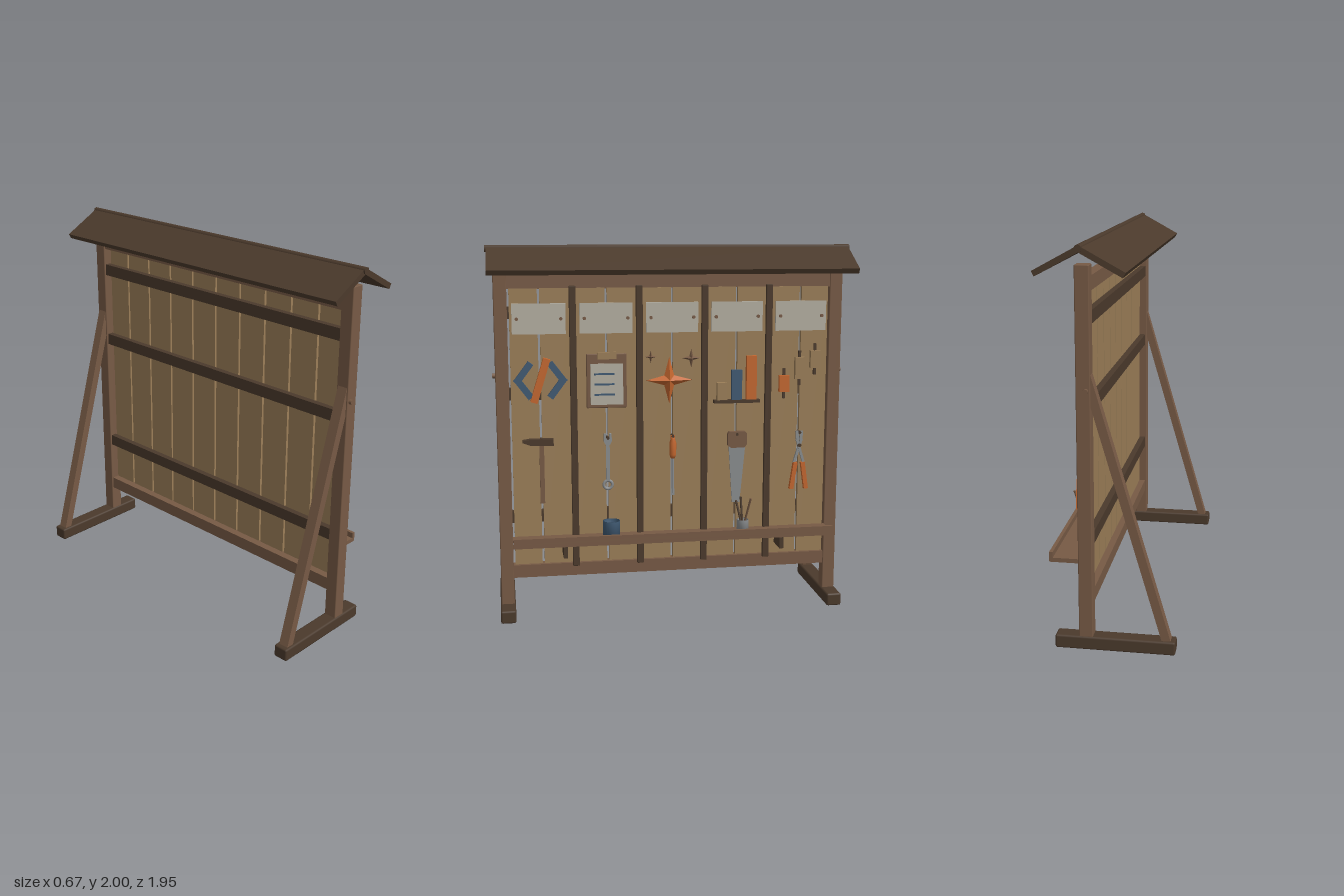
import * as THREE from 'three';
import { RoundedBoxGeometry } from 'three/addons/geometries/RoundedBoxGeometry.js';

const mat = (name, color, side = THREE.FrontSide) => {
  const m = new THREE.MeshStandardMaterial({ color, side });
  m.name = name;
  return m;
};

export function createModel() {
  const dark = mat('dark wood', 0x4b3a2c);
  const wood = mat('brown wood', 0x775a45);
  const tan = mat('tan board', 0x9b7e58);
  const pale = mat('pale sign', 0xb3aea1);
  const orange = mat('orange', 0xc4672f);
  const blue = mat('blue', 0x405a73);
  const steel = mat('steel', 0x8a8d8f);

  // Built facing +z (x along the board), then turned to face +x.
  const board = new THREE.Group();
  board.name = 'toolBoard';

  const add = (name, geo, m, x = 0, y = 0, z = 0, parent = board) => {
    const mesh = new THREE.Mesh(geo, m);
    mesh.name = name;
    mesh.position.set(x, y, z);
    parent.add(mesh);
    return mesh;
  };
  // box from its limits on each axis
  const box = (name, m, x0, x1, y0, y1, z0, z1, bevel = 0) => {
    const s = [x1 - x0, y1 - y0, z1 - z0];
    const geo = bevel ? new RoundedBoxGeometry(...s, 1, bevel) : new THREE.BoxGeometry(...s);
    return add(name, geo, m, (x0 + x1) / 2, (y0 + y1) / 2, (z0 + z1) / 2);
  };
  // straight bar between two points in the board plane
  const bar = (name, m, [x0, y0], [x1, y1], width, z0, z1) => {
    const dx = x1 - x0, dy = y1 - y0;
    const b = add(name, new THREE.BoxGeometry(width, Math.hypot(dx, dy), z1 - z0), m,
      (x0 + x1) / 2, (y0 + y1) / 2, (z0 + z1) / 2);
    b.rotation.z = -Math.atan2(dx, dy);
    return b;
  };
  // flat outline with thickness
  const plate = (name, m, pts, z, depth) => {
    const shape = new THREE.Shape(pts.map(p => new THREE.Vector2(...p)));
    return add(name, new THREE.ExtrudeGeometry(shape, { depth, bevelEnabled: false }), m, 0, 0, z);
  };
  // round peg pointing along z
  const peg = (name, m, x, y, z, r, len) => {
    const p = add(name, new THREE.CylinderGeometry(r, r, len, 10), m, x, y, z);
    p.rotation.x = Math.PI / 2;
    return p;
  };

  // Side frames: foot, post, raking brace and bolt
  for (const s of [-1, 1]) {
    const c = s * 0.903;
    box('foot', dark, c - 0.041, c + 0.041, 0, 0.07, -0.335, 0.265, 0.01);
    box('post', wood, c - 0.035, c + 0.035, 0.065, 1.905, 0.075, 0.145, 0.005);
    const dz = 0.385, dy = 1.32;
    const brace = add('brace', new THREE.BoxGeometry(0.055, Math.hypot(dz, dy) + 0.02, 0.043), wood, c, 0.73, -0.096);
    brace.rotation.x = Math.atan2(dz, dy);
    const bolt = add('braceBolt', new THREE.CylinderGeometry(0.013, 0.013, 0.03, 10), wood, s * 0.938, 1.318, 0.097);
    bolt.rotation.z = Math.PI / 2;
  }

  // Rails
  box('topRail', wood, -0.868, 0.868, 1.775, 1.845, 0.085, 0.14);
  box('bottomRail', wood, -0.868, 0.868, 0.215, 0.285, 0.085, 0.14);
  for (const y of [0.55, 1.22, 1.65]) box('backRail', dark, -0.868, 0.868, y - 0.032, y + 0.032, 0.085, 0.118);

  // Planks and battens
  const pitch = 0.1764;
  for (let i = -5; i < 5; i++) {
    const x0 = Math.max(-0.858, i * pitch + 0.006), x1 = Math.min(0.858, (i + 1) * pitch - 0.006);
    box('plank', tan, x0, x1, 0.292, 1.778, 0.118, 0.143);
  }
  for (const k of [-3, -1, 1, 3]) box('batten', dark, k * pitch - 0.018, k * pitch + 0.018, 0.272, 1.79, 0.142, 0.162, 0.004);

  // Roof
  for (const s of [-1, 1]) {
    const slab = add('roofSlab', new THREE.BoxGeometry(1.936, 0.028, 0.242), dark, 0, 1.922, 0.118 + s * 0.105);
    slab.rotation.x = s * 0.5;
  }
  const ridge = add('ridgeCap', new THREE.CylinderGeometry(0.018, 0.018, 1.95, 8), dark, 0, 1.982, 0.118);
  ridge.rotation.z = Math.PI / 2;

  // Header signs with screws
  const cols = [-2, -1, 0, 1, 2].map(i => i * 2 * pitch);
  for (const x of cols) {
    box('sign', pale, x - 0.14, x + 0.14, 1.54, 1.7, 0.144, 0.157);
    for (const s of [-1, 1]) peg('signScrew', wood, x + s * 0.115, 1.62, 0.16, 0.009, 0.01);
  }

  // Column 1: angle brackets, slash, hammer
  for (const s of [-1, 1]) {
    const cx = -0.703;
    for (const e of [-1, 1]) bar('chevronArm', blue, [cx + s * 0.128, 1.297 - e * 0.012], [cx + s * 0.05, 1.297 + e * 0.092], 0.034, 0.144, 0.168);
  }
  bar('slash', orange, [-0.74, 1.18], [-0.668, 1.412], 0.038, 0.144, 0.174);
  box('hammerHandle', wood, -0.717, -0.693, 0.64, 0.965, 0.168, 0.192);
  plate('hammerHead', dark, [[-0.805, 0.972], [-0.765, 0.957], [-0.642, 0.953], [-0.642, 0.988], [-0.765, 0.988], [-0.803, 0.982]], 0.16, 0.04);

  // Column 2: clipboard and wrench
  box('clipboard', wood, -0.461, -0.246, 1.142, 1.432, 0.144, 0.16, 0.005);
  box('paper', pale, -0.44, -0.266, 1.16, 1.38, 0.16, 0.165);
  box('clip', tan, -0.403, -0.303, 1.405, 1.442, 0.158, 0.178);
  [[1.325, -0.312], [1.27, -0.312], [1.215, -0.312]].forEach(([y, x1]) => box('writtenLine', blue, -0.42, x1, y - 0.005, y + 0.005, 0.164, 0.168));
  const wx = -0.353;
  bar('wrenchShaft', steel, [wx, 0.75], [wx, 0.975], 0.02, 0.166, 0.18);
  add('wrenchRing', new THREE.TorusGeometry(0.023, 0.008, 8, 20), steel, wx, 0.725, 0.173);
  plate('wrenchJaw', steel, [[-0.012, 0.945], [0.012, 0.945], [0.022, 0.965], [0.02, 1.005], [0.009, 1.005], [0.009, 0.978],
    [-0.009, 0.978], [-0.009, 1.005], [-0.02, 1.005], [-0.022, 0.965]].map(([x, y]) => [x + wx, y]), 0.164, 0.018);

  // Column 3: faceted stars and screwdriver
  const star = (m, x, y, r, h) => {
    const pos = [], n = 8;
    const p = i => {
      const a = i * Math.PI / 4, q = i % 2 ? r * 0.3 : r;
      return [Math.cos(a) * q, Math.sin(a) * q, 0];
    };
    for (let i = 0; i < n; i++) pos.push(...p(i), ...p(i + 1), 0, 0, h, ...p(i + 1), ...p(i), 0, 0, 0);
    const g = new THREE.BufferGeometry();
    g.setAttribute('position', new THREE.Float32BufferAttribute(pos, 3));
    g.computeVertexNormals();
    add('star', g, m, x, y, 0.146);
  };
  star(orange, -0.015, 1.282, 0.126, 0.032);
  star(wood, -0.115, 1.41, 0.033, 0.018);
  star(wood, 0.105, 1.4, 0.05, 0.02);
  const grip = [[0, 0.86], [0.012, 0.86], [0.019, 0.88], [0.019, 0.945], [0.012, 0.965], [0.013, 0.985], [0, 0.99]];
  add('screwdriverHandle', new THREE.LatheGeometry(grip.map(p => new THREE.Vector2(...p)), 12), orange, 0, 0, 0.175);
  add('screwdriverBlade', new THREE.CylinderGeometry(0.007, 0.007, 0.2, 8), steel, 0, 0.765, 0.175);
  box('screwdriverTip', steel, -0.009, 0.009, 0.655, 0.69, 0.172, 0.178);

  // Column 4: bar chart on a ledge, saw
  box('chartLedge', dark, 0.227, 0.48, 1.153, 1.17, 0.144, 0.18);
  [[tan, 0.272, 1.265], [blue, 0.353, 1.332], [orange, 0.434, 1.408]].forEach(([m, x, top]) =>
    box('chartBar', m, x - 0.028, x + 0.028, 1.17, top, 0.144, 0.172));
  plate('sawBlade', steel, [[0.308, 0.93], [0.33, 0.6], [0.372, 0.6], [0.402, 0.93]], 0.17, 0.008);
  plate('sawHandle', wood, [[0.303, 0.92], [0.32, 0.908], [0.395, 0.908], [0.408, 0.925], [0.408, 0.985], [0.398, 0.997], [0.312, 0.997], [0.302, 0.985]], 0.16, 0.028);

  // Column 5: candle chart and pliers
  [[orange, 0.618, 1.252, 0.09, 0.165], [tan, 0.705, 1.335, 0.12, 0.19], [tan, 0.79, 1.383, 0.095, 0.17]].forEach(([m, x, y, h, stem]) => {
    box('candleStem', dark, x - 0.007, x + 0.007, y - stem / 2, y + stem / 2, 0.144, 0.156);
    box('candleBody', m, x - 0.028, x + 0.028, y - h / 2, y + h / 2, 0.144, 0.17);
  });
  const px = 0.705;
  for (const s of [-1, 1]) {
    const z = 0.17 + s * 0.003;
    bar('plierJaw', steel, [px - s * 0.014, 0.99], [px - s * 0.01, 0.94], 0.016, z, z + 0.012);
    bar('plierArm', steel, [px - s * 0.014, 0.945], [px + s * 0.027, 0.81], 0.014, z, z + 0.012);
    bar('plierGrip', orange, [px + s * 0.02, 0.815], [px + s * 0.042, 0.665], 0.023, 0.166, 0.19);
  }
  peg('plierPivot', dark, px, 0.91, 0.18, 0.01, 0.02);

  // Hanging pegs above the tools
  for (const x of cols) peg('toolPeg', dark, x, 0.982, 0.166, 0.008, 0.046);

  // Work shelf with lip and brackets
  box('shelf', wood, -0.868, 0.868, 0.425, 0.447, 0.143, 0.305);
  box('shelfLip', wood, -0.868, 0.868, 0.447, 0.477, 0.287, 0.305);
  for (const x of [-0.592, 0.592]) box('shelfBracket', dark, x - 0.011, x + 0.011, 0.35, 0.425, 0.143, 0.266);

  // Cups: hollow, with outer and inner walls
  const cup = (name, m, x, r, h) => {
    const p = [[0, 0], [r * 0.97, 0], [r, h], [r * 0.87, h], [r * 0.85, 0.01], [0, 0.01]];
    add(name, new THREE.LatheGeometry(p.map(q => new THREE.Vector2(...q)), 20), m, x, 0.447, 0.222);
  };
  cup('blueCup', blue, -0.342, 0.047, 0.09);
  cup('pencilCup', steel, 0.382, 0.033, 0.066);
  [[-0.03, 0.155, -0.04, dark], [0.032, 0.185, 0.05, wood], [-0.005, 0.175, -0.035, dark]].forEach(([dx, dy, dz, m]) => {
    const d = new THREE.Vector3(dx, dy, dz);
    const stick = add('pencil', new THREE.CylinderGeometry(0.006, 0.006, d.length(), 8), m, 0.382 + dx / 2, 0.457 + dy / 2, 0.222 + dz / 2);
    stick.quaternion.setFromUnitVectors(new THREE.Vector3(0, 1, 0), d.normalize());
  });

  board.rotation.y = Math.PI / 2;
  const group = new THREE.Group();
  group.name = 'toolBoardStand';
  group.add(board);
  return group;
}
